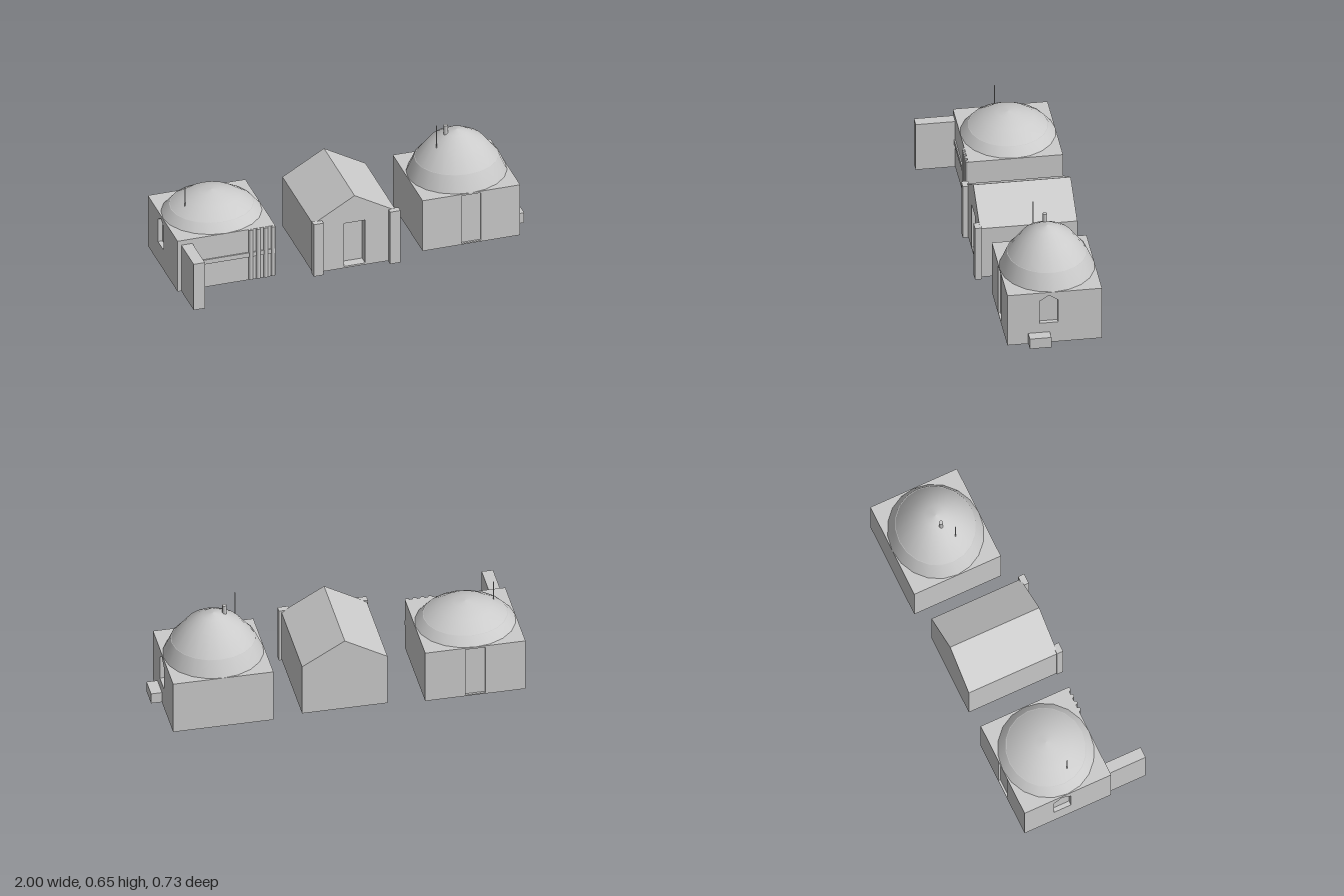
import * as THREE from 'three';

const grey = new THREE.MeshStandardMaterial({ color: 0xcccccc, side: THREE.DoubleSide });
const BASE = 0.005, ROOF = 0.318, WIDTH = 0.552, DEPTH = 0.515, CZ = -0.1075;

function add(parent, name, geometry, x = 0, y = 0, z = 0) {
  const mesh = new THREE.Mesh(geometry, grey);
  mesh.name = name;
  mesh.position.set(x, y, z);
  parent.add(mesh);
  return mesh;
}

// box given by its minimum and maximum on each axis
function block(parent, name, [x0, x1], [y0, y1], [z0, z1]) {
  return add(parent, name, new THREE.BoxGeometry(x1 - x0, y1 - y0, z1 - z0),
    (x0 + x1) / 2, (y0 + y1) / 2, (z0 + z1) / 2);
}

function rod(parent, name, radius, x, y0, y1, z, sides = 8) {
  return add(parent, name, new THREE.CylinderGeometry(radius, radius, y1 - y0, sides), x, (y0 + y1) / 2, z);
}

const rect = (x0, x1, y0, y1) => [[x0, y0], [x1, y0], [x1, y1], [x0, y1]];
const toPoints = (list) => list.map(([x, y]) => new THREE.Vector2(x, y));

// wall slab with an opening; its outer face looks along +z
function piercedWall(outline, opening, depth) {
  const shape = new THREE.Shape(toPoints(outline));
  shape.holes.push(new THREE.Path(toPoints(opening)));
  return new THREE.ExtrudeGeometry(shape, { depth, bevelEnabled: false });
}

// square house: recessed door in the front, pointed window in the +x side
function squareHouse(name, x) {
  const house = new THREE.Group();
  house.name = name;
  house.position.set(x, 0, CZ);
  const w = WIDTH / 2, d = DEPTH / 2, doorDepth = 0.012, windowDepth = 0.025;
  block(house, 'core', [-w, w - windowDepth], [BASE, ROOF], [-d, d - doorDepth]);
  add(house, 'doorWall', piercedWall(rect(-w, w, BASE, ROOF), rect(-0.055, 0.055, 0.012, 0.308), doorDepth),
    0, 0, d - doorDepth);
  const opening = [[-0.082, 0.128], [0.018, 0.128], [0.018, 0.267], [-0.032, 0.3], [-0.082, 0.267]];
  const side = add(house, 'windowWall',
    piercedWall(rect(-d + doorDepth, d, BASE, ROOF), opening, windowDepth), w - windowDepth);
  side.rotation.y = Math.PI / 2;
  return house;
}

// faceted-profile dome: sloping ring below, smooth cap above
function dome(parent, x, height) {
  const group = new THREE.Group();
  group.name = 'dome';
  group.position.set(x, ROOF, CZ);
  group.scale.set(1, height, 0.94);
  const lathe = (pts) => new THREE.LatheGeometry(toPoints(pts), 20);
  add(group, 'domeRing', lathe([[0.274, 0], [0.232, 0.36], [0.226, 0.36]]));
  add(group, 'domeCap', lathe([[0.228, 0.355], [0.15, 0.745], [0.062, 0.95], [0, 1]]));
  parent.add(group);
}

function lowDomeHouse() {
  const g = new THREE.Group(), x = -0.723;
  g.name = 'lowDomeHouse';
  const house = squareHouse('walls', x);
  house.rotation.y = Math.PI;
  g.add(house);
  dome(g, x, 0.132);
  rod(g, 'antenna', 0.003, -0.889, 0.36, 0.515, -0.06);
  block(g, 'yardWall', [-0.978, -0.915], [BASE, 0.29], [0.14, 0.365]);
  block(g, 'pipeRail', [-0.915, -0.447], [0.15, 0.177], [0.14, 0.157]);
  // upright pipes
  for (let i = 0; i < 4; i++) rod(g, 'uprightPipe', 0.012, -0.585 + i * 0.042, 0.01, 0.317, 0.152, 10);
  return g;
}

function gableHouse() {
  const g = new THREE.Group();
  g.name = 'gableHouse';
  const outline = [[-0.245, BASE], [0.225, BASE], [0.225, 0.31], [-0.01, 0.445], [-0.245, 0.31]];
  const recess = 0.055;
  add(g, 'body', new THREE.ExtrudeGeometry(new THREE.Shape(toPoints(outline)),
    { depth: 0.53 - recess, bevelEnabled: false }), 0, 0, -0.34);
  add(g, 'doorWall', piercedWall(outline, rect(-0.07, 0.05, 0.015, 0.282), recess), 0, 0, 0.19 - recess);
  block(g, 'pillarRight', [-0.25, -0.195], [0, 0.323], [0.182, 0.219]);
  block(g, 'pillarLeft', [0.182, 0.24], [0, 0.323], [0.182, 0.219]);
  return g;
}

function tallDomeHouse() {
  const g = new THREE.Group(), x = 0.664;
  g.name = 'tallDomeHouse';
  g.add(squareHouse('walls', x));
  dome(g, x, 0.255);
  rod(g, 'chimney', 0.012, 0.602, 0.53, 0.61, -0.105, 10);
  rod(g, 'antenna', 0.003, 0.533, 0.48, 0.647, -0.052);
  block(g, 'sideBench', [0.93, 1], [0.008, 0.07], [-0.08, 0.037]);
  return g;
}

export function createModel() {
  const model = new THREE.Group();
  model.name = 'village';
  model.add(lowDomeHouse(), gableHouse(), tallDomeHouse());
  return model;
}
